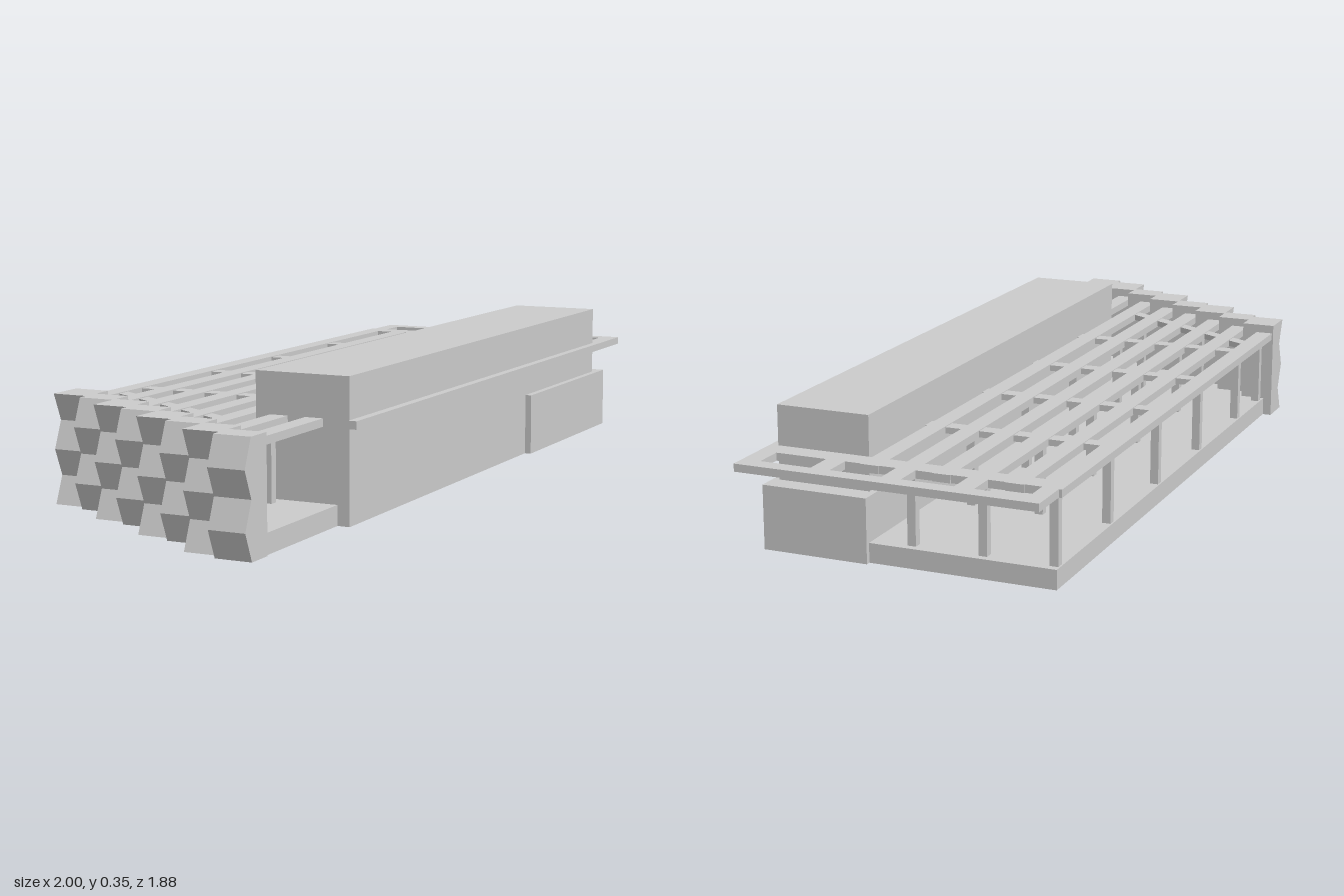
import * as THREE from 'three';

const mat = new THREE.MeshStandardMaterial({ color: 0xcccccc, flatShading: true });

export function createModel() {
  const model = new THREE.Group();
  const house = new THREE.Group();
  house.name = 'pavilion';
  house.rotation.y = 0.6; // the plan stands at an angle to the axes
  model.add(house);

  const add = (name, geometry) => {
    const mesh = new THREE.Mesh(geometry, mat);
    mesh.name = name;
    house.add(mesh);
    return mesh;
  };
  // Box given by its limits along the length (x), height (y) and depth (z)
  const box = (name, x0, x1, y0, y1, z0, z1) =>
    add(name, new THREE.BoxGeometry(x1 - x0, y1 - y0, z1 - z0))
      .position.set((x0 + x1) / 2, (y0 + y1) / 2, (z0 + z1) / 2);
  const outline = (points) => new THREE.Shape(points.map(([x, y]) => new THREE.Vector2(x, y)));
  // Horizontal plate from a plan outline
  const plate = (name, shape, y0, y1) => {
    const g = new THREE.ExtrudeGeometry(shape, { depth: y1 - y0, bevelEnabled: false });
    g.rotateX(Math.PI / 2);
    add(name, g).position.y = y1;
  };

  const roofY0 = 0.232, roofY1 = 0.252;
  const pitch = 0.093, back = -0.474, step = 0.053;

  // Floor slab, open under the tall hall
  plate('floorSlab', outline([
    [0.86, -0.45], [0.86, 0.05], [-0.815, 0.05], [-0.815, 0.265], [-1.2, 0.265], [-0.82, -0.45],
  ]), 0, 0.05);

  // Tall hall: a hollow shell with no floor
  const t = 0.006;
  box('hallTop', -0.815, 0.82, 0.355 - t, 0.355, 0.05, 0.297);
  box('hallFrontWall', -0.815, 0.82, 0, 0.355 - t, 0.297 - t, 0.297);
  box('hallBackWall', -0.815, 0.82, 0, 0.355 - t, 0.05, 0.05 + t);
  box('hallEndWall', -0.815, -0.815 + t, 0, 0.355 - t, 0.05 + t, 0.297 - t);
  box('hallEndWall', 0.82 - t, 0.82, 0, 0.355 - t, 0.05 + t, 0.297 - t);

  // Low block at the front corner
  box('lowBlock', 0.28, 0.873, 0, 0.165, 0.034, 0.314);

  // Stepped row of piers with a zigzag outer face, alternating in phase
  for (let k = 0; k < 8; k++) {
    const outer = -0.887 - step * k, inner = -0.79 - step * k;
    const profile = [[inner, 0]];
    profile.push([inner, 0.275]);
    for (let i = 4; i >= 0; i--) {
      profile.push([outer + ((i + k) % 2 ? 0.028 : 0), 0.275 * i / 4]);
    }
    const g = new THREE.ExtrudeGeometry(outline(profile), { depth: pitch, bevelEnabled: false });
    add('zigzagPier', g).position.z = back + pitch * k;
  }

  // Long roof slats, each reaching its own pier
  for (let k = 0; k < 8; k++) {
    const z = back + 0.004 + pitch * k;
    box('roofSlat', -0.8 - step * k, k < 6 ? 0.88 : -0.815, roofY0, roofY1, z, z + 0.047);
  }
  box('roofFrontEdge', -0.82, 0.88, roofY0, roofY1, 0.297, 0.318);

  // End frame of the roof with four openings
  const frame = outline([[0.82, -0.462], [0.995, -0.462], [0.995, 0.318], [0.82, 0.318]]);
  for (let i = 0; i < 4; i++) {
    const z = -0.42 + 0.185 * i;
    frame.holes.push(new THREE.Path([
      [0.877, z], [0.877, z + 0.135], [0.953, z + 0.135], [0.953, z],
    ].map(([x, y]) => new THREE.Vector2(x, y))));
  }
  plate('roofEndFrame', frame, roofY0, roofY1);

  // Cross ties between the slats, with posts below
  for (const x of [0.83, 0.49, 0.14, -0.2, -0.55, -0.76]) {
    if (x < 0.8 && x > -0.7) box('crossTie', x - 0.02, x + 0.02, roofY0 + 0.002, roofY1 - 0.002, -0.46, 0.05);
    for (const z of [-0.435, -0.255, -0.07]) {
      box('post', x - 0.011, x + 0.011, 0.05, roofY0, z - 0.011, z + 0.011);
    }
  }
  box('post', -0.871, -0.849, 0.05, roofY0, 0.099, 0.121);

  // Slanted tie following the line of the piers
  plate('slantedTie', outline([
    [-0.66, -0.45], [-0.62, -0.45], [-0.9, 0.04], [-0.94, 0.04],
  ]), roofY0 + 0.002, roofY1 - 0.002);

  return model;
}
